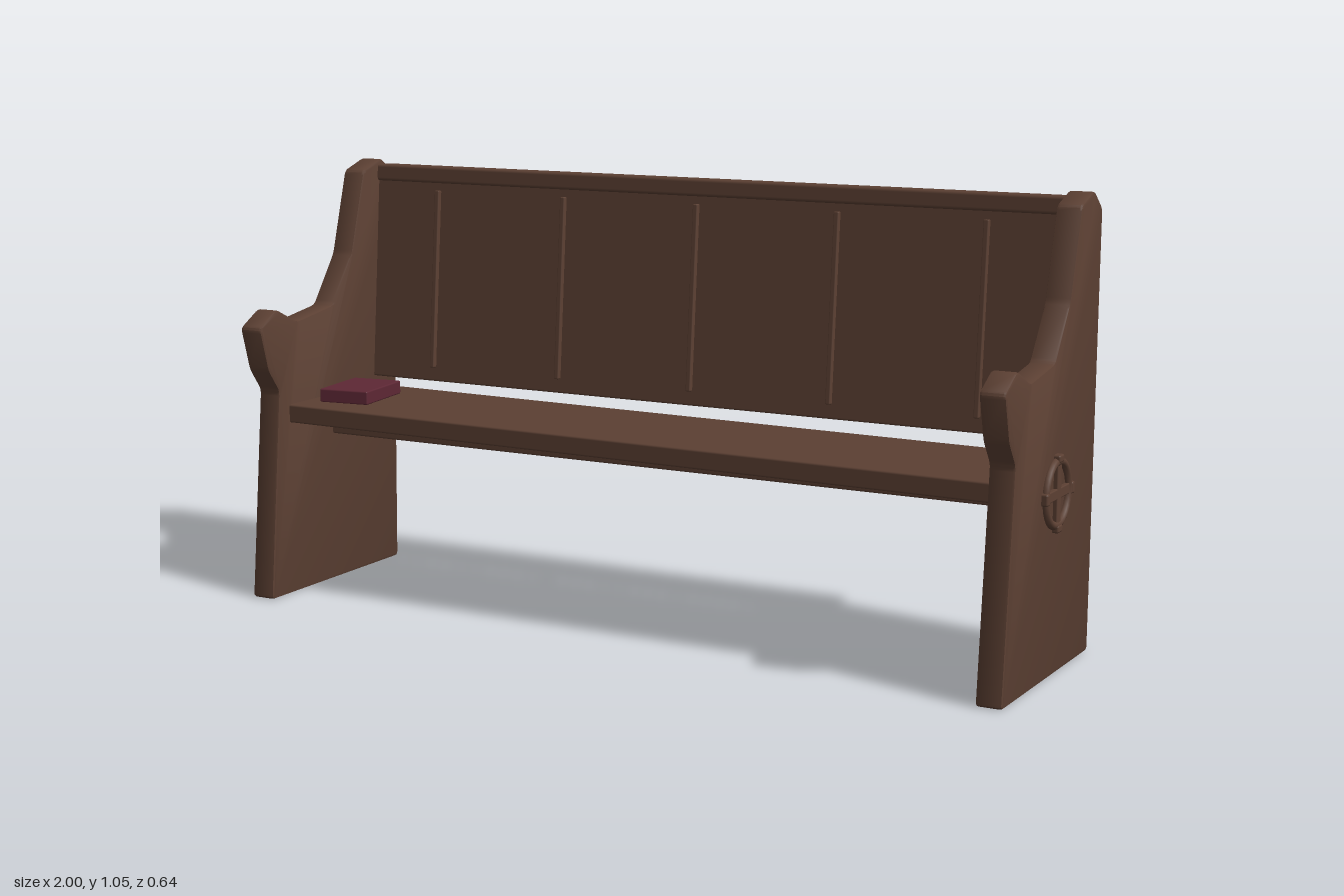
import * as THREE from 'three';
import { RoundedBoxGeometry } from 'three/addons/geometries/RoundedBoxGeometry.js';
import { toCreasedNormals } from 'three/addons/utils/BufferGeometryUtils.js';

const wood = new THREE.MeshStandardMaterial({ color: 0x5c4033 });
wood.name = 'dark wood';
const cover = new THREE.MeshStandardMaterial({ color: 0x5e2835 });
cover.name = 'maroon cover';

function add(parent, name, geometry, material, x = 0, y = 0, z = 0) {
  const mesh = new THREE.Mesh(geometry, material);
  mesh.name = name;
  mesh.position.set(x, y, z);
  parent.add(mesh);
  return mesh;
}

// Board with slightly eased edges
const board = (w, h, d, r = 0.005) => new RoundedBoxGeometry(w, h, d, 1, r);

// Side outline as [z, y]
const endProfile = [
  [0.30, 0], [0.25, 0.515], [0.29, 0.57], [0.32, 0.677], [0.25, 0.717],
  [0.17, 0.678], [0.025, 0.70], [-0.06, 0.82], [-0.12, 1.028],
  [-0.20, 1.055], [-0.255, 1.012], [-0.24, 0],
];

// Outline with each corner cut by a small curve
function softShape(points, r) {
  const pts = points.map(([x, y]) => new THREE.Vector2(x, y));
  const shape = new THREE.Shape();
  pts.forEach((p, i) => {
    const prev = pts[(i + pts.length - 1) % pts.length];
    const next = pts[(i + 1) % pts.length];
    const a = p.clone().add(prev.clone().sub(p).setLength(r));
    const b = p.clone().add(next.clone().sub(p).setLength(r));
    if (i === 0) shape.moveTo(a.x, a.y);
    else shape.lineTo(a.x, a.y);
    shape.quadraticCurveTo(p.x, p.y, b.x, b.y);
  });
  shape.closePath();
  return shape;
}

function endPanelGeometry() {
  const t = 0.06, bevel = 0.006;
  const geo = new THREE.ExtrudeGeometry(softShape(endProfile, 0.012), {
    depth: t - 2 * bevel, bevelEnabled: true, bevelThickness: bevel,
    bevelSize: bevel, bevelOffset: -bevel, bevelSegments: 2, curveSegments: 3,
  });
  geo.translate(0, 0, -t / 2 + bevel);
  geo.rotateY(-Math.PI / 2);
  return toCreasedNormals(geo, 0.5);
}

// Ringed cross with four bosses, facing along x
function medallion(side) {
  const g = new THREE.Group();
  g.name = side > 0 ? 'leftMedallion' : 'rightMedallion';
  const ring = new THREE.TorusGeometry(0.071, 0.010, 8, 32);
  ring.rotateY(Math.PI / 2);
  add(g, 'ring', ring, wood, side * 0.003);
  add(g, 'crossUpright', board(0.014, 0.14, 0.024, 0.003), wood, side * 0.003);
  add(g, 'crossBar', board(0.014, 0.024, 0.14, 0.003), wood, side * 0.003);
  for (let i = 0; i < 4; i++) {
    const a = i * Math.PI / 2;
    const boss = add(g, 'boss', board(0.028, 0.018, 0.028, 0.005), wood,
      side * 0.001, Math.cos(a) * 0.078, Math.sin(a) * 0.078);
    boss.rotation.x = a;
  }
  g.position.set(side * 0.985, 0.413, 0.005);
  return g;
}

export function createModel() {
  const bench = new THREE.Group();
  bench.name = 'bench';

  // End panels with medallions
  const endGeo = endPanelGeometry();
  for (const side of [1, -1]) {
    add(bench, side > 0 ? 'leftEnd' : 'rightEnd', endGeo, wood, side * 0.955);
    bench.add(medallion(side));
  }

  // Seat, a touch out of level, and the beam beneath it
  const seat = add(bench, 'seat', board(1.87, 0.045, 0.36), wood, 0, 0.449, 0.032);
  seat.rotation.z = -0.005;
  add(bench, 'seatBeam', board(1.87, 0.05, 0.05), wood, 0, 0.4, 0.01);

  // Leaning back with raised strips
  const back = new THREE.Group();
  back.name = 'backrest';
  back.position.set(0, 0.75, -0.185);
  back.rotation.x = -0.08;
  bench.add(back);
  add(back, 'backPanel', board(1.87, 0.51, 0.035), wood);
  for (let i = -2; i <= 2; i++) {
    add(back, 'backStrip', board(0.013, 0.45, 0.016, 0.003), wood, i * 0.37, 0.005, 0.0215);
  }

  // Top rail
  const rail = add(bench, 'topRail', board(1.87, 0.042, 0.08, 0.008), wood, 0, 1.018, -0.221);
  rail.rotation.x = -0.06;

  // Rear shelf with upright lip
  add(bench, 'rearShelf', board(1.76, 0.015, 0.125, 0.003), wood, 0, 0.69, -0.2555);
  add(bench, 'shelfLip', board(1.76, 0.067, 0.01, 0.003), wood, 0, 0.716, -0.313);

  // Book lying on the seat
  const book = add(bench, 'book', board(0.132, 0.034, 0.182, 0.004), cover, -0.832, 0.492, 0.042);
  book.rotation.y = 0.138;

  return bench;
}
